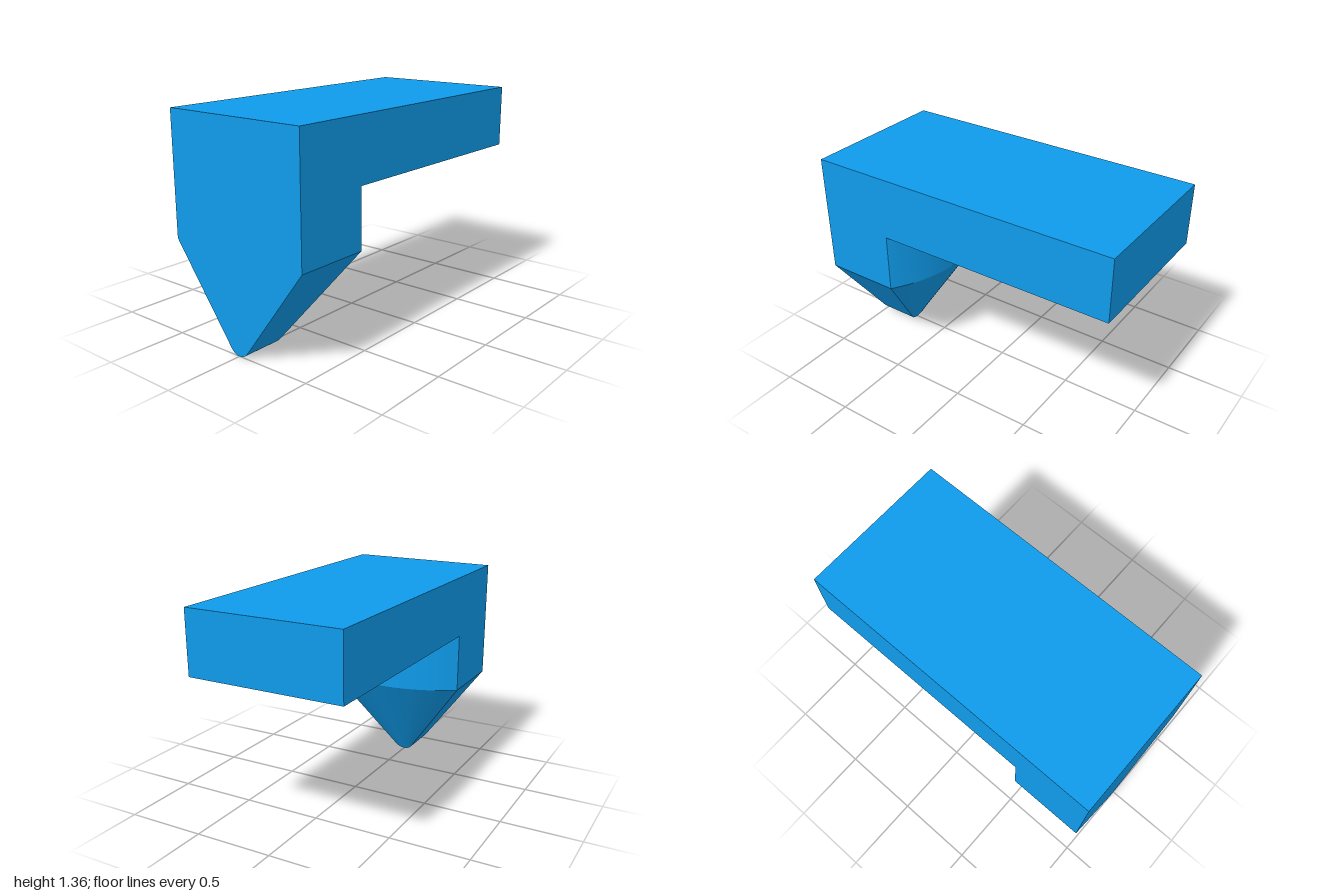
import * as THREE from 'three';
import { ParametricGeometry } from 'three/addons/geometries/ParametricGeometry.js';

const W = 0.487, TOP = 1.36, SLAB = 0.97, NECK = 0.6; // half width and main heights
const FRONT = 1, CORNER = 0.515, BACK = 0.36, TIP_Z = 0.75; // depths along z
const TIP_R = 0.078, TIP_ANGLE = 0.931, ARC = 10; // rounded lower edge

export function createModel() {
  const group = new THREE.Group();
  const material = new THREE.MeshStandardMaterial({ color: 0x0f9bea });

  const add = (name, geometry) => {
    const mesh = new THREE.Mesh(geometry, material);
    mesh.name = name;
    group.add(mesh);
  };
  const addPatch = (name, fn, slices, stacks) => {
    const geometry = new ParametricGeometry(fn, slices, stacks);
    geometry.computeVertexNormals();
    add(name, geometry);
  };

  // Half profile of the wedge: t = 0 at the lowest point, 1 at the neck
  const profile = (t) => {
    const k = t * (ARC + 1);
    const a = (Math.min(k, ARC) / ARC) * TIP_ANGLE;
    const w = TIP_R * Math.sin(a), y = TIP_R * (1 - Math.cos(a));
    const f = Math.max(0, k - ARC);
    return [w + (W - w) * f, y + (NECK - y) * f];
  };
  const cornerZ = (y) => TIP_Z + (CORNER - TIP_Z) * (y / NECK);

  // Circular bulge across the back: 0 at the corners, 1 in the middle
  const sag = CORNER - BACK;
  const R = (W * W + sag * sag) / (2 * sag);
  const bulge = (s) => (Math.sqrt(R * R - W * W * s * s) - (R - sag)) / sag;

  // L-shaped body: long slab with the block under its front end
  const side = new THREE.Shape([
    [-FRONT, NECK], [-CORNER, NECK], [-CORNER, SLAB],
    [1, SLAB], [1, TOP], [-FRONT, TOP],
  ].map(([x, y]) => new THREE.Vector2(x, y)));
  const body = new THREE.ExtrudeGeometry(side, { depth: 2 * W, bevelEnabled: false });
  body.rotateY(Math.PI / 2).translate(-W, 0, 0);
  add('slabAndBlock', body);

  // Curved back of the block
  addPatch('curvedBack', (u, v, p) => {
    const s = 1 - 2 * u;
    p.set(W * s, NECK + (SLAB - NECK) * v, CORNER - sag * bulge(s));
  }, 48, 1);

  // Wedge: flat front, sloping sides joined by the rounded edge, conical back
  addPatch('wedgeFront', (u, v, p) => {
    const [w, y] = profile(v);
    p.set(w * (2 * u - 1), y, FRONT);
  }, 1, ARC + 1);

  addPatch('wedgeSides', (u, v, p) => {
    const s = 2 * v - 1;
    const [w, y] = profile(Math.abs(s));
    p.set(Math.sign(s) * w, y, FRONT + (cornerZ(y) - FRONT) * u);
  }, 1, 2 * (ARC + 1));

  addPatch('wedgeBack', (u, v, p) => {
    const s = 1 - 2 * u;
    const [w, y] = profile(v);
    p.set(w * s, y, cornerZ(y) - sag * (y / NECK) * bulge(s));
  }, 48, ARC + 1);

  return group;
}
